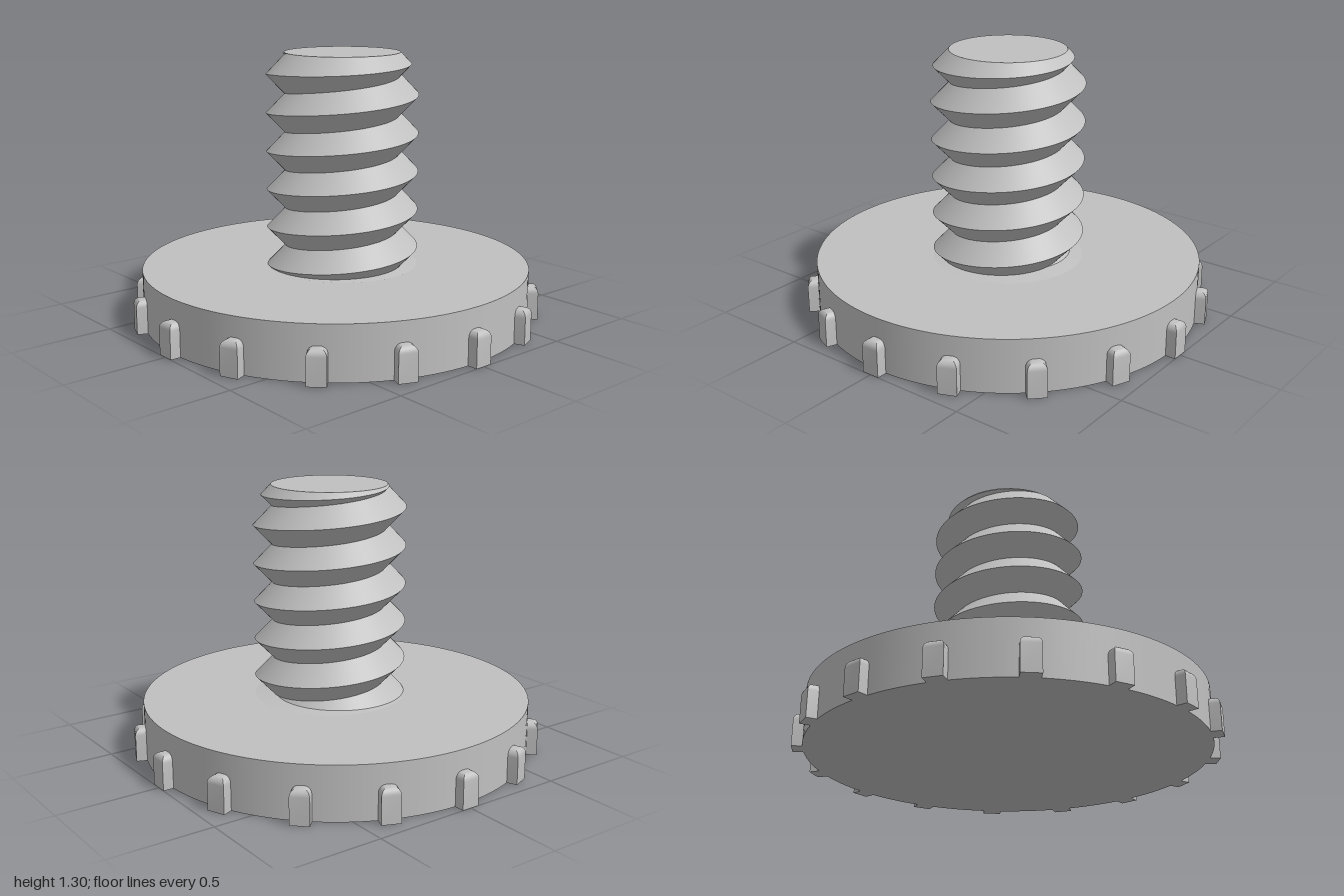
import * as THREE from 'three';
import { toCreasedNormals } from 'three/addons/utils/BufferGeometryUtils.js';

const DISC_R = 0.95, DISC_H = 0.262;
const TOP = 1.305, ROOT = 0.28, DEPTH = 0.09, PITCH = 0.1875;

// One flank of the helical thread; edge(t) gives lower and upper [radius, y] at t turns.
function helixStrip(edge, from, to, perTurn = 96) {
  const pos = [], index = [];
  const n = Math.ceil((to - from) * perTurn);
  for (let i = 0; i <= n; i++) {
    const t = from + (to - from) * i / n, a = t * Math.PI * 2;
    for (const [r, y] of edge(t)) pos.push(r * Math.cos(a), y, -r * Math.sin(a));
    if (i < n) {
      const k = i * 2;
      index.push(k, k + 2, k + 3, k, k + 3, k + 1);
    }
  }
  const g = new THREE.BufferGeometry();
  g.setAttribute('position', new THREE.Float32BufferAttribute(pos, 3));
  g.setIndex(index);
  g.computeVertexNormals();
  return g;
}

// Grip block with its top rounded inwards on the sides and the outer edge.
function gripGeometry() {
  const steps = 7, half = 0.045, inner = 0.92, round = 0.035, straight = 0.13;
  const g = new THREE.BoxGeometry(1, steps, 1, 1, steps, 1);
  const p = g.attributes.position;
  for (let i = 0; i < p.count; i++) {
    const row = Math.round(p.getY(i) + steps / 2);
    const a = Math.max(0, row - 1) / (steps - 1) * Math.PI / 2;
    const inset = round * (1 - Math.cos(a));
    const y = row === 0 ? 0 : straight + round * Math.sin(a);
    p.setXYZ(i, Math.sign(p.getX(i)) * (half - inset), y, p.getZ(i) > 0 ? 1 - inset : inner);
  }
  return toCreasedNormals(g, 0.7);
}

export function createModel() {
  const model = new THREE.Group();
  model.name = 'thumbScrew';
  const steel = new THREE.MeshStandardMaterial({ color: 0xc0c0c0 });
  steel.name = 'grey';

  const add = (parent, geometry, name) => {
    const mesh = new THREE.Mesh(geometry, steel);
    mesh.name = name;
    parent.add(mesh);
    return mesh;
  };

  // Round head
  add(model, new THREE.CylinderGeometry(DISC_R, DISC_R, DISC_H, 128), 'head').position.y = DISC_H / 2;

  // Grips around the rim
  const grips = new THREE.Group();
  grips.name = 'grips';
  model.add(grips);
  const grip = gripGeometry();
  for (let i = 0; i < 16; i++) add(grips, grip, 'grip').rotation.y = i * Math.PI / 8;

  // Threaded shaft, slightly off the head's centre
  const shaft = new THREE.Group();
  shaft.name = 'shaft';
  shaft.position.set(0.02, 0, 0.026);
  model.add(shaft);

  // The last turn shrinks into the bevel at the top
  const profile = t => {
    const low = 1.125 + PITCH * (t - 0.5);
    const high = Math.min(low + PITCH, TOP);
    const crest = [ROOT + DEPTH * (high - low) / PITCH, (low + high) / 2];
    return { low: [ROOT, low], crest, high: [ROOT, high] };
  };
  const start = -5.2, end = (TOP - 1.125) / PITCH + 0.5;
  add(shaft, helixStrip(t => [profile(t).low, profile(t).crest], start, end), 'threadUnderside');
  add(shaft, helixStrip(t => [profile(t).crest, profile(t).high], start, end), 'threadUpperSide');

  // Flat tip
  const tip = add(shaft, new THREE.CircleGeometry(ROOT, 96), 'tip');
  tip.rotation.x = -Math.PI / 2;
  tip.position.y = TOP;

  // Low sloped collar where the shaft meets the head
  add(shaft, new THREE.CylinderGeometry(ROOT, 0.37, 0.012, 96, 1, true), 'collar').position.y = 0.27;

  return model;
}
